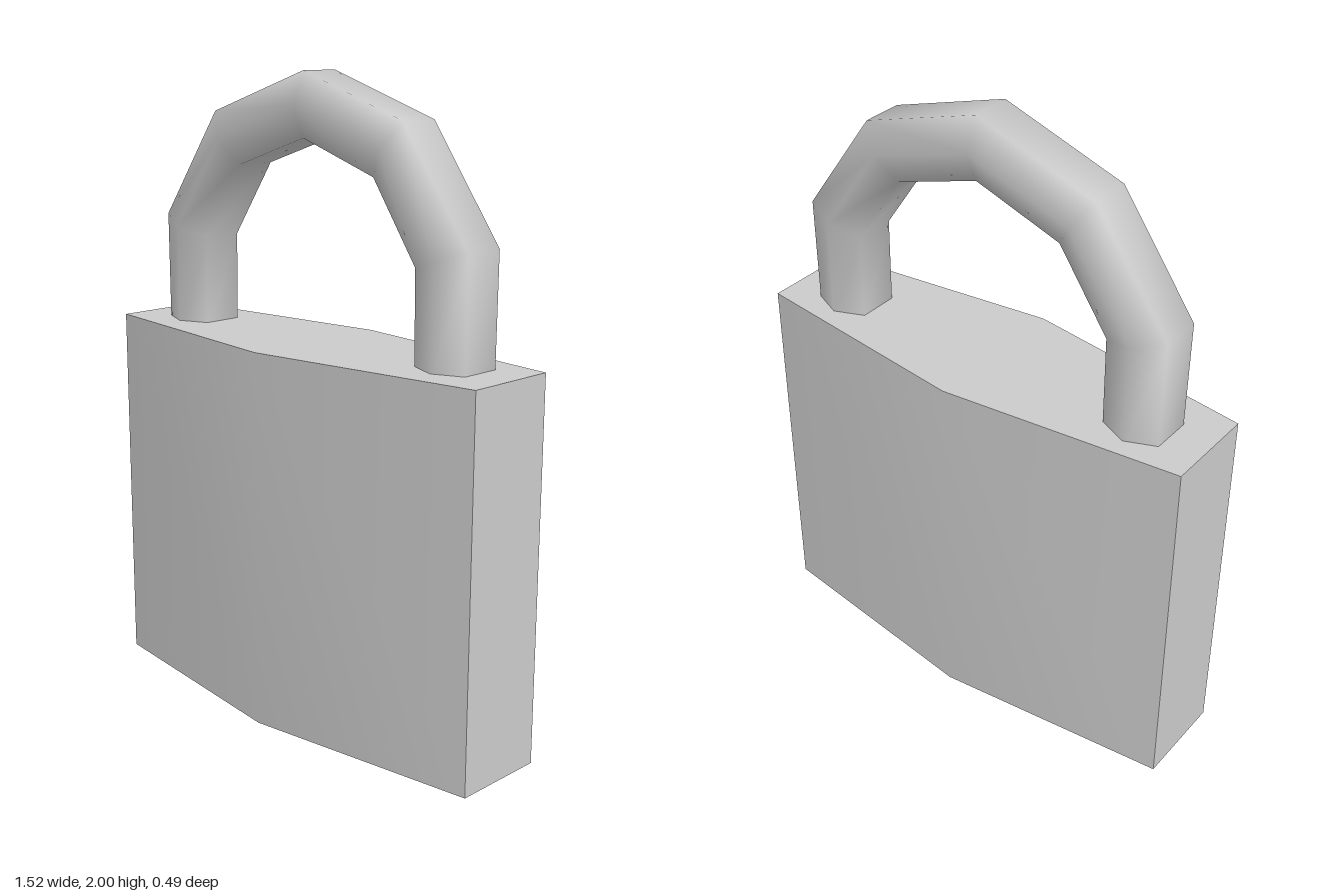
import * as THREE from 'three';
import { toCreasedNormals } from 'three/addons/utils/BufferGeometryUtils.js';

const BODY_HEIGHT = 1.19;

// Lock body: six-sided footprint, bulging slightly at front and back
function bodyGeometry() {
  const footprint = new THREE.Shape([
    [0.76, -0.157], [0.76, 0.145], [0, 0.247], [-0.76, 0.145], [-0.76, -0.157], [0, -0.247],
  ].map(([x, z]) => new THREE.Vector2(x, z)));
  const geo = new THREE.ExtrudeGeometry(footprint, { depth: BODY_HEIGHT, bevelEnabled: false });
  geo.rotateX(Math.PI / 2).translate(0, BODY_HEIGHT, 0);
  return toCreasedNormals(geo, 0.5);
}

// Shackle: hexagonal section swept along a faceted arch
function shackleGeometry() {
  // stations of one half: outer x, outer y, inner x, inner y
  const half = [
    [0.64, 1.15, 0.453, 1.15],
    [0.643, 1.53, 0.45, 1.47],
    [0.397, 1.87, 0.285, 1.71],
  ];
  const mirrored = half.map(([a, b, c, d]) => [-a, b, -c, d]).reverse();
  const stations = [...half, [0, 2, 0, 1.805], ...mirrored];
  // section corners: outward factor, z
  const section = [[1, 0.065], [0, 0.105], [-1, 0.065], [-1, -0.065], [0, -0.105], [1, -0.065]];
  const zCentre = -0.018;
  const n = section.length;
  const positions = [];
  const index = [];
  stations.forEach(([ox, oy, ix, iy], i) => {
    section.forEach(([u, z], k) => {
      const t = (u + 1) / 2;
      positions.push(ix + (ox - ix) * t, iy + (oy - iy) * t, z + zCentre);
      if (i === stations.length - 1) return;
      const a = i * n + k, b = i * n + (k + 1) % n;
      index.push(a, a + n, b, b, a + n, b + n);
    });
  });
  const geo = new THREE.BufferGeometry();
  geo.setAttribute('position', new THREE.Float32BufferAttribute(positions, 3));
  geo.setIndex(index);
  geo.computeVertexNormals();
  return geo;
}

export function createModel() {
  const group = new THREE.Group();
  group.name = 'padlock';
  const material = new THREE.MeshStandardMaterial({ color: 0xcccccc });
  const add = (name, geometry) => {
    const mesh = new THREE.Mesh(geometry, material);
    mesh.name = name;
    group.add(mesh);
  };
  add('body', bodyGeometry());
  add('shackle', shackleGeometry());
  return group;
}
